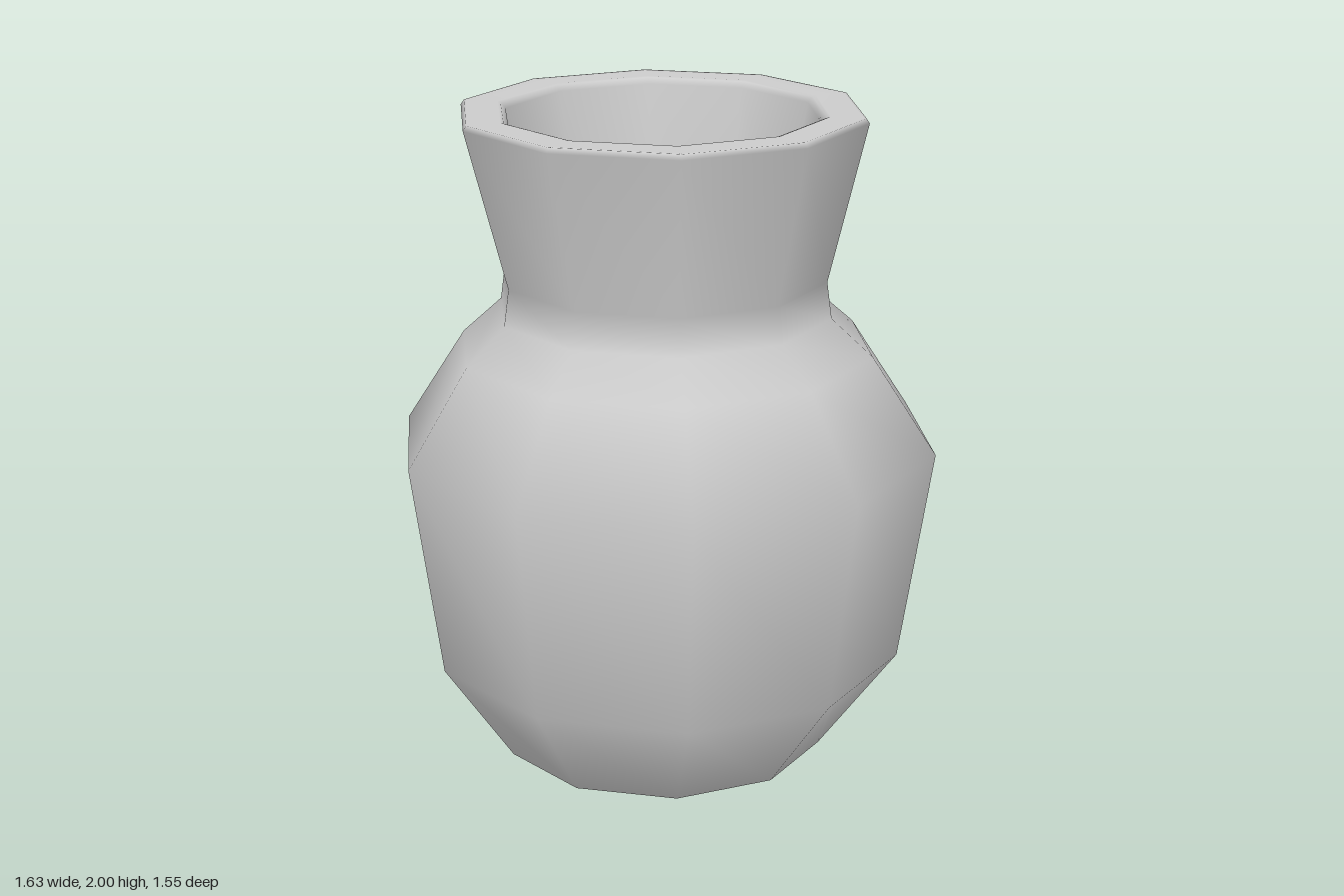
import * as THREE from 'three';

// Closed wall section: [radius, height, sideways drift of the ring]
const PROFILE = [
  // underside and foot bevel
  [0, 0, -0.015], [0.41, 0, -0.015], [0.43, 0.005, -0.015], [0.495, 0.035, -0.015],
  // belly and shoulder
  [0.72, 0.35, -0.003], [0.815, 1.0, 0], [0.625, 1.29, -0.005],
  // neck and flared collar
  [0.503, 1.4, -0.008], [0.488, 1.51, -0.008], [0.607, 1.985, -0.015],
  // rim
  [0.597, 2, -0.015], [0.59, 2, -0.015], [0.495, 2, -0.015], [0.485, 1.997, -0.015], [0.47, 1.98, -0.015],
  // inside of the neck, belly and floor
  [0.372, 1.5, -0.01], [0.38, 1.4, -0.008], [0.5, 1.25, -0.005],
  [0.68, 1.0, 0], [0.59, 0.4, -0.003], [0.39, 0.14, -0.015], [0, 0.11, -0.015],
];
const SIDES = 10;

export function createModel() {
  const group = new THREE.Group();
  group.name = 'vase';

  // Ten-sided turned body with a corner on the x axis
  const points = PROFILE.map(([r, y]) => new THREE.Vector2(r, y));
  const geometry = new THREE.LatheGeometry(points, SIDES, Math.PI / 2);

  // Slide each ring slightly sideways for a hand-thrown look
  const pos = geometry.attributes.position;
  for (let i = 0; i < pos.count; i++) {
    pos.setX(i, pos.getX(i) + PROFILE[i % PROFILE.length][2]);
  }

  const body = new THREE.Mesh(geometry, new THREE.MeshStandardMaterial({ color: 0xcccccc }));
  body.name = 'vaseBody';
  group.add(body);
  return group;
}
